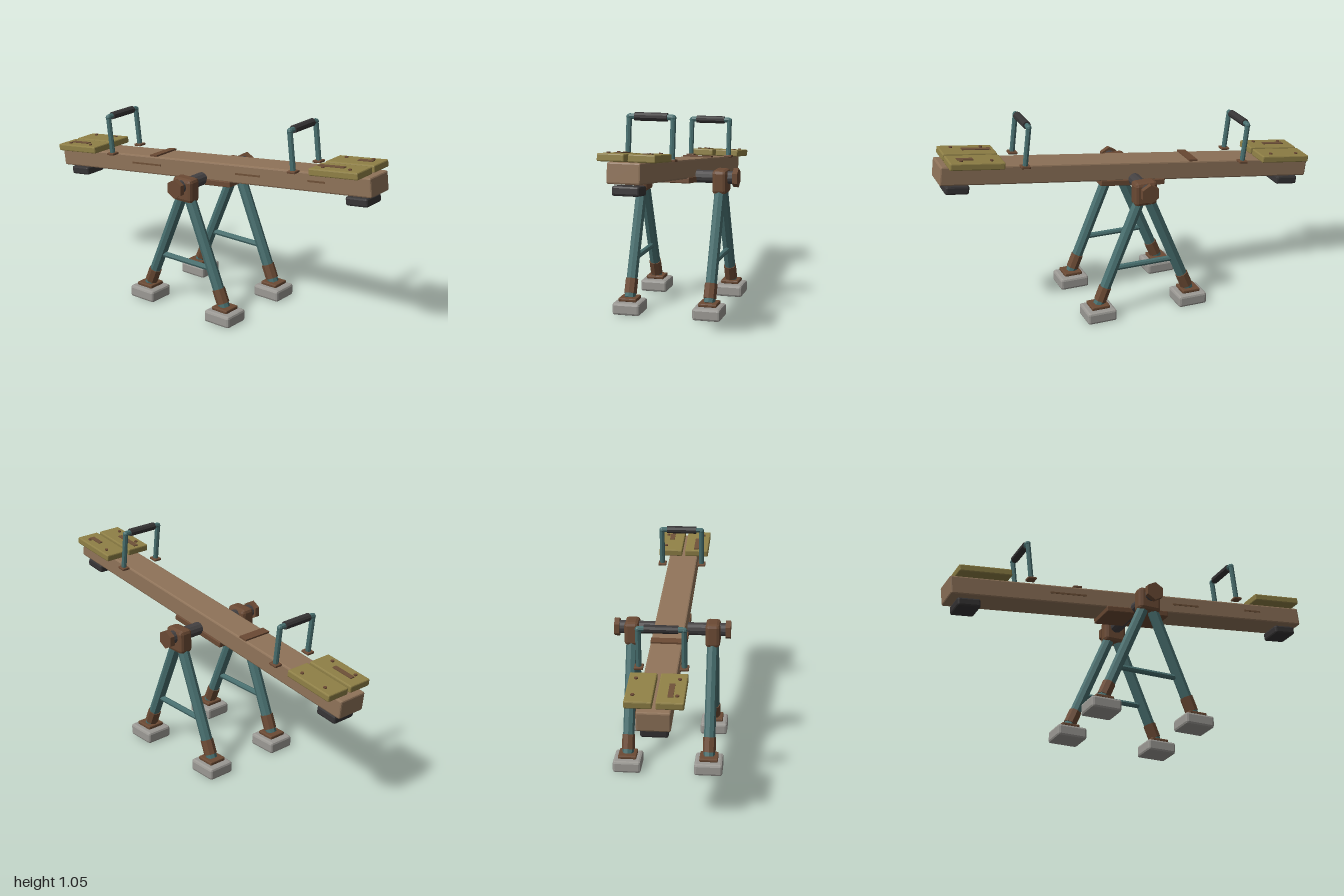
import * as THREE from 'three';
import { RoundedBoxGeometry } from 'three/addons/geometries/RoundedBoxGeometry.js';

const mat = (name, color) => {
  const m = new THREE.MeshStandardMaterial({ color });
  m.name = name;
  return m;
};

export function createModel() {
  const wood = mat('plank wood', 0x8f7359);
  const seatPaint = mat('olive seat paint', 0x8f8046);
  const teal = mat('teal paint', 0x476e6e);
  const rust = mat('rusty brown metal', 0x6b4a34);
  const rubber = mat('dark rubber', 0x363435);
  const steel = mat('dark steel', 0x444142);
  const concrete = mat('concrete', 0x9b9994);
  const wear = mat('worn wood', 0x6e5138);

  // Faceted mesh helper
  const add = (parent, name, geo, material, x = 0, y = 0, z = 0) => {
    const g = geo.index ? geo.toNonIndexed() : geo;
    g.computeVertexNormals();
    const m = new THREE.Mesh(g, material);
    m.name = name;
    m.position.set(x, y, z);
    parent.add(m);
    return m;
  };
  // Box with chamfered edges
  const block = (w, h, d, r) => new RoundedBoxGeometry(w, h, d, 1, r);
  // Straight bar between two points
  const bar = (parent, name, a, b, radius, material, sides = 8) => {
    const p = new THREE.Vector3(...a), q = new THREE.Vector3(...b);
    const dir = q.clone().sub(p);
    const m = add(parent, name, new THREE.CylinderGeometry(radius, radius, dir.length(), sides), material);
    m.position.copy(p).add(q).multiplyScalar(0.5);
    m.quaternion.setFromUnitVectors(new THREE.Vector3(0, 1, 0), dir.normalize());
    return m;
  };

  const model = new THREE.Group();
  model.name = 'seesaw';

  // Fixed stand
  const stand = new THREE.Group();
  stand.name = 'stand';
  model.add(stand);
  const axleY = 0.672;
  bar(stand, 'axle', [0, axleY, -0.285], [0, axleY, 0.285], 0.033, steel, 12);

  for (const side of [1, -1]) {
    const z = side * 0.207;
    const frame = new THREE.Group();
    frame.name = side > 0 ? 'frontFrame' : 'backFrame';
    stand.add(frame);
    add(frame, 'bearingBlock', block(0.12, 0.124, 0.075, 0.018), rust, 0, 0.651, z);

    // Hexagonal nut with a corner pointing up
    const nut = new THREE.CylinderGeometry(0.049, 0.049, 0.026, 6);
    nut.rotateX(Math.PI / 2);
    add(frame, 'axleNut', nut, rust, 0, axleY, side * 0.284);
    bar(frame, 'crossbar', [-0.172, 0.262, z], [0.172, 0.262, z], 0.015, teal);

    for (const s of [1, -1]) {
      // Point on the leg's centre line at a given height
      const at = (y) => [s * 0.25 * (0.67 - y) / 0.6, y, z];
      bar(frame, 'leg', at(0.64), at(0.075), 0.029, teal);
      bar(frame, 'legSleeve', at(0.165), at(0.095), 0.033, rust);
      add(frame, 'footPlate', block(0.096, 0.018, 0.094, 0.005), rust, s * 0.25, 0.073, z);
      add(frame, 'footing', block(0.155, 0.062, 0.143, 0.012), concrete, s * 0.25, 0.031, z);
    }
  }

  // Tilting beam and everything fixed to it
  const beam = new THREE.Group();
  beam.name = 'tiltingBeam';
  beam.position.y = 0.7125;
  beam.rotation.z = 0.122;
  model.add(beam);

  const top = 0.0485;
  add(beam, 'plank', block(2.0, top * 2, 0.156, 0.008), wood);
  add(beam, 'pivotPlate', block(0.35, 0.03, 0.168, 0.004), rust, 0, -0.057, 0);
  add(beam, 'topStrap', new THREE.BoxGeometry(0.046, 0.009, 0.156), rust, -0.325, top + 0.004, 0);

  // Scratches along the front face
  for (const [x, length, y] of [[-0.38, 0.2, 0.005], [0.29, 0.155, 0.002], [0.7, 0.1, 0.005]]) {
    add(beam, 'scratch', new THREE.BoxGeometry(length, 0.009, 0.004), wear, x, y, 0.0785);
  }

  for (const s of [1, -1]) {
    const end = new THREE.Group();
    end.name = s > 0 ? 'leftEnd' : 'rightEnd';
    beam.add(end);
    add(end, 'bumper', block(0.12, 0.045, 0.128, 0.01), rubber, s * 0.905, -0.079, 0);

    // Handle
    const hx = s * 0.591, hy = 0.252, hz = 0.107;
    for (const side of [1, -1]) {
      const z = side * hz;
      bar(end, 'handlePost', [hx, top, z], [hx, hy - 0.008, z], 0.0135, teal);
      add(end, 'handleElbow', new THREE.SphereGeometry(0.015, 8, 6), teal, hx, hy - 0.003, z);
      add(end, 'handlePlate', block(0.046, 0.012, 0.043, 0.003), rust, hx, top + 0.004, z);
    }
    bar(end, 'handleBar', [hx, hy, -hz], [hx, hy, hz], 0.0135, teal);
    bar(end, 'handleGrip', [hx, hy, -0.079], [hx, hy, 0.079], 0.02, rubber, 10);

    // Two seat boards with bolts
    for (const side of [1, -1]) {
      add(end, 'seatBoard', block(0.272, 0.036, 0.127, 0.006), seatPaint, s * 0.834, top + 0.018, side * 0.0715);
      for (const b of [1, -1]) {
        add(end, 'seatBolt', new THREE.CylinderGeometry(0.009, 0.009, 0.008, 8), rust,
          s * 0.834 + b * 0.075, top + 0.038, side * 0.1);
      }
    }
  }

  // Worn patches on the seats
  for (const [x, z, length] of [[-0.86, 0.07, 0.12], [0.79, 0.07, 0.145], [0.885, -0.075, 0.08]]) {
    add(beam, 'wornPatch', new THREE.BoxGeometry(length, 0.005, 0.026), wear, x, top + 0.0375, z);
  }

  return model;
}
